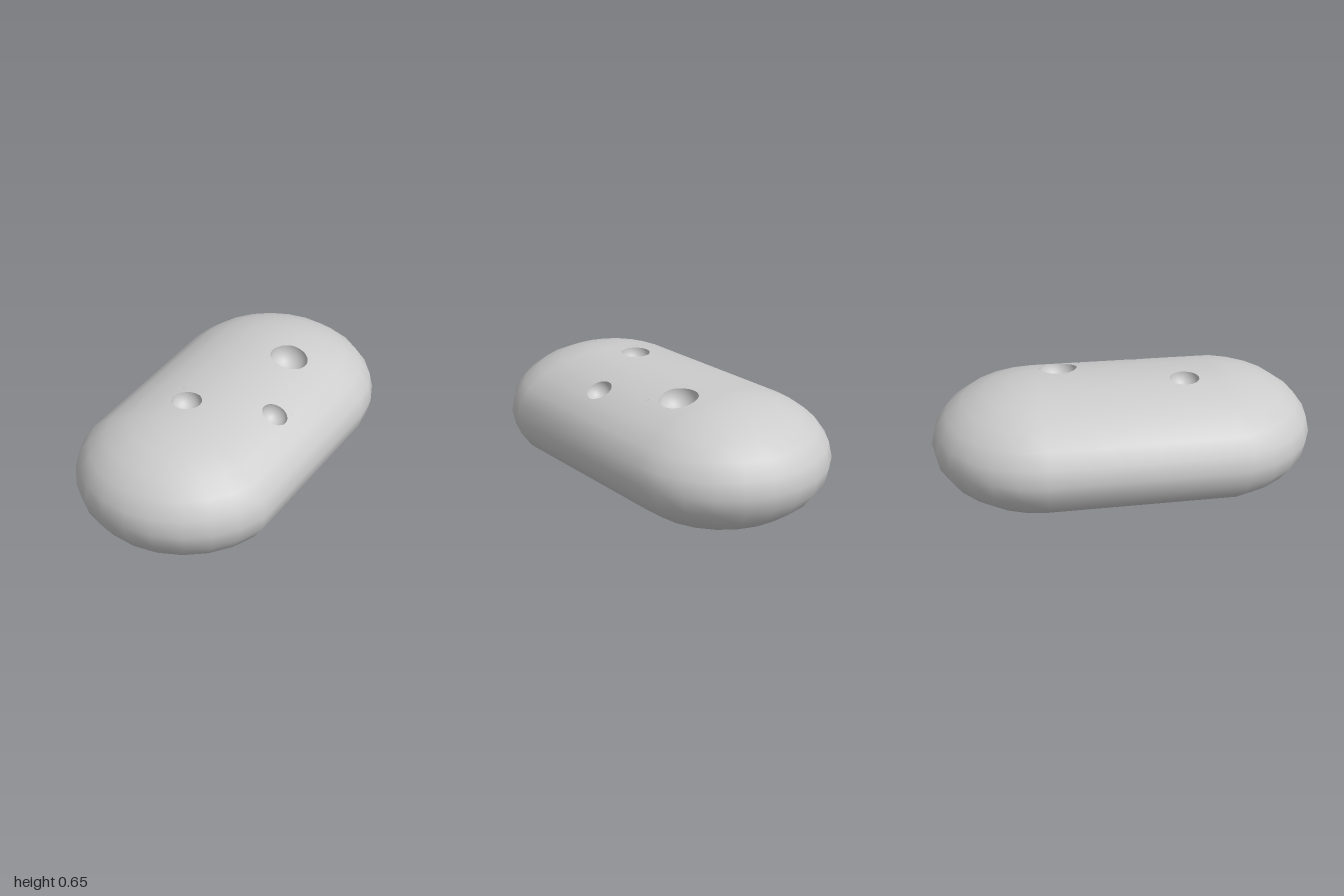
import * as THREE from 'three';

const RX = 0.56, RY = 0.3275, HALF = 0.44;   // end radius, half height, half straight length
const STEP = Math.PI / 12;                   // 24 sides
const C = Math.cos(STEP), S = Math.sin(STEP);
const POLE = RX * S;                         // radius of the ring nearest a pole

// spherical hollows: x, z, radius
const HOLLOWS = [[0.175, -0.315, 0.1], [0.336, 0.127, 0.068], [-0.066, 0.32, 0.0765]];

// grid of quads from fn(s, t) -> { p, n }, leaving out the cells skip() picks
function grid(ss, ts, fn, skip = () => false) {
  const pos = [], nor = [], idx = [], w = ts.length;
  ss.forEach((s) => ts.forEach((t) => {
    const { p, n } = fn(s, t);
    pos.push(p.x, p.y, p.z);
    nor.push(n.x, n.y, n.z);
  }));
  for (let i = 0; i < ss.length - 1; i++) {
    for (let j = 0; j < w - 1; j++) {
      if (skip((ss[i] + ss[i + 1]) / 2, (ts[j] + ts[j + 1]) / 2)) continue;
      const a = i * w + j, b = a + w;
      idx.push(a, a + 1, b + 1, a, b + 1, b);
    }
  }
  const g = new THREE.BufferGeometry();
  g.setAttribute('position', new THREE.Float32BufferAttribute(pos, 3));
  g.setAttribute('normal', new THREE.Float32BufferAttribute(nor, 3));
  g.setIndex(idx);
  return g;
}

const range = (n, from, to) => Array.from({ length: n + 1 }, (_, i) => from + (to - from) * i / n);

// straight section: u counts sides from the top, t runs from back (0) to front (1)
function corner(u, t) {
  const a = u * STEP, x = RX * Math.sin(a);
  const y = RY * Math.cos(a) * (u % 12 === 0 ? 1 - t * (1 - C) : 1);
  const zFront = HALF + S * Math.max(Math.abs(x), POLE);
  return {
    p: new THREE.Vector3(x * (1 - t * (1 - C)), RY + y, -HALF + t * (zFront + HALF)),
    n: new THREE.Vector3(x / RX ** 2, y / RY ** 2, t * Math.abs(x) * S / RX ** 2).normalize(),
  };
}
function surface(u, t) {
  const k = Math.floor(u), a = corner(k, t), b = corner(k + 1, t);
  return { p: a.p.lerp(b.p, u - k), n: a.n.lerp(b.n, u - k).normalize() };
}

// rounded ends: a sphere pulled apart, without the sides between its halves
function endsGeometry() {
  const g = new THREE.SphereGeometry(1, 24, 12).scale(RX, RY, RX);
  const p = g.attributes.position;
  for (let i = 0; i < p.count; i++) {
    const col = i % 25, row = Math.floor(i / 25);
    const front = col >= 1 && col <= 11;
    const pole = front && (row === 0 || row === 12);
    p.setY(i, RY + p.getY(i) * (pole ? C : 1));
    p.setZ(i, p.getZ(i) + (front ? HALF : -HALF) + (pole ? POLE * S : 0));
  }
  const old = g.index.array, idx = [];
  for (let i = 0; i < old.length; i += 3) {
    const tri = [old[i], old[i + 1], old[i + 2]];
    const cols = tri.map((v) => v % 25);
    const lo = Math.min(...cols), hi = Math.max(...cols);
    if ((lo === 0 && hi === 1) || (lo === 11 && hi === 12)) continue;
    idx.push(...tri);
  }
  g.setIndex(idx);
  return g;
}

// patch of the straight section around each hollow
function makeTile([x, z, r]) {
  let u = 0, t = 0.5;
  for (let i = 0; i < 6; i++) {
    u = Math.asin(x / (1 - t * (1 - C)) / RX) / STEP;
    t = (z + HALF) / (2 * HALF + S * Math.max(RX * Math.abs(Math.sin(u * STEP)), POLE));
  }
  const du = 1.15 * r / (RX * STEP * Math.cos(u * STEP)), dt = 1.15 * r / (2 * HALF + S * POLE);
  const mid = surface(u, t);
  // place at fraction f of the way from the centre to the tile edge
  const at = (angle, f) => {
    const c = Math.cos(angle), s = Math.sin(angle), m = Math.max(Math.abs(c), Math.abs(s));
    return surface(u + du * f * c / m, t + dt * f * s / m);
  };
  // fraction where the hollow's sphere meets the surface
  const rim = (angle) => {
    let lo = 0, hi = 1;
    for (let i = 0; i < 24; i++) {
      const f = (lo + hi) / 2;
      if (at(angle, f).p.distanceTo(mid.p) < r) lo = f; else hi = f;
    }
    return lo;
  };
  return { u, t, du, dt, r, mid, at, rim };
}

export function createModel() {
  const model = new THREE.Group();
  const grey = new THREE.MeshStandardMaterial({ color: 0xcccccc });
  grey.name = 'stone grey';
  const add = (name, geometry) => {
    const mesh = new THREE.Mesh(geometry, grey);
    mesh.name = name;
    model.add(mesh);
  };

  add('roundedEnds', endsGeometry());

  const tiles = HOLLOWS.map(makeTile);
  const sorted = (list) => [...new Set(list)].sort((a, b) => a - b);
  const us = sorted([...range(24, -12, 12), ...tiles.flatMap((k) => [k.u - k.du, k.u + k.du])]);
  const ts = sorted([0, 1, ...tiles.flatMap((k) => [k.t - k.dt, k.t + k.dt])]);
  add('body', grid(us, ts, surface, (u, t) =>
    tiles.some((k) => Math.abs(u - k.u) < k.du && Math.abs(t - k.t) < k.dt)));

  const angles = range(48, 0, Math.PI * 2);
  tiles.forEach((k, i) => {
    // skin between the hollow's rim and the square patch edge
    add(`hollowSurround${i + 1}`, grid(range(4, 0, 1), angles, (s, a) => {
      const f = k.rim(a);
      return k.at(a, f + (1 - f) * s);
    }));
    // bowl, from its bottom up to the rim
    add(`hollow${i + 1}`, grid(range(12, 0, 1), angles, (s, a) => {
      const d = k.at(a, k.rim(a)).p.sub(k.mid.p).normalize();
      const down = k.mid.n.clone().negate();
      const full = down.angleTo(d);
      const dir = down.multiplyScalar(Math.sin((1 - s) * full))
        .addScaledVector(d, Math.sin(s * full)).normalize();
      return { p: k.mid.p.clone().addScaledVector(dir, k.r), n: dir.clone().negate() };
    }));
  });
  return model;
}
